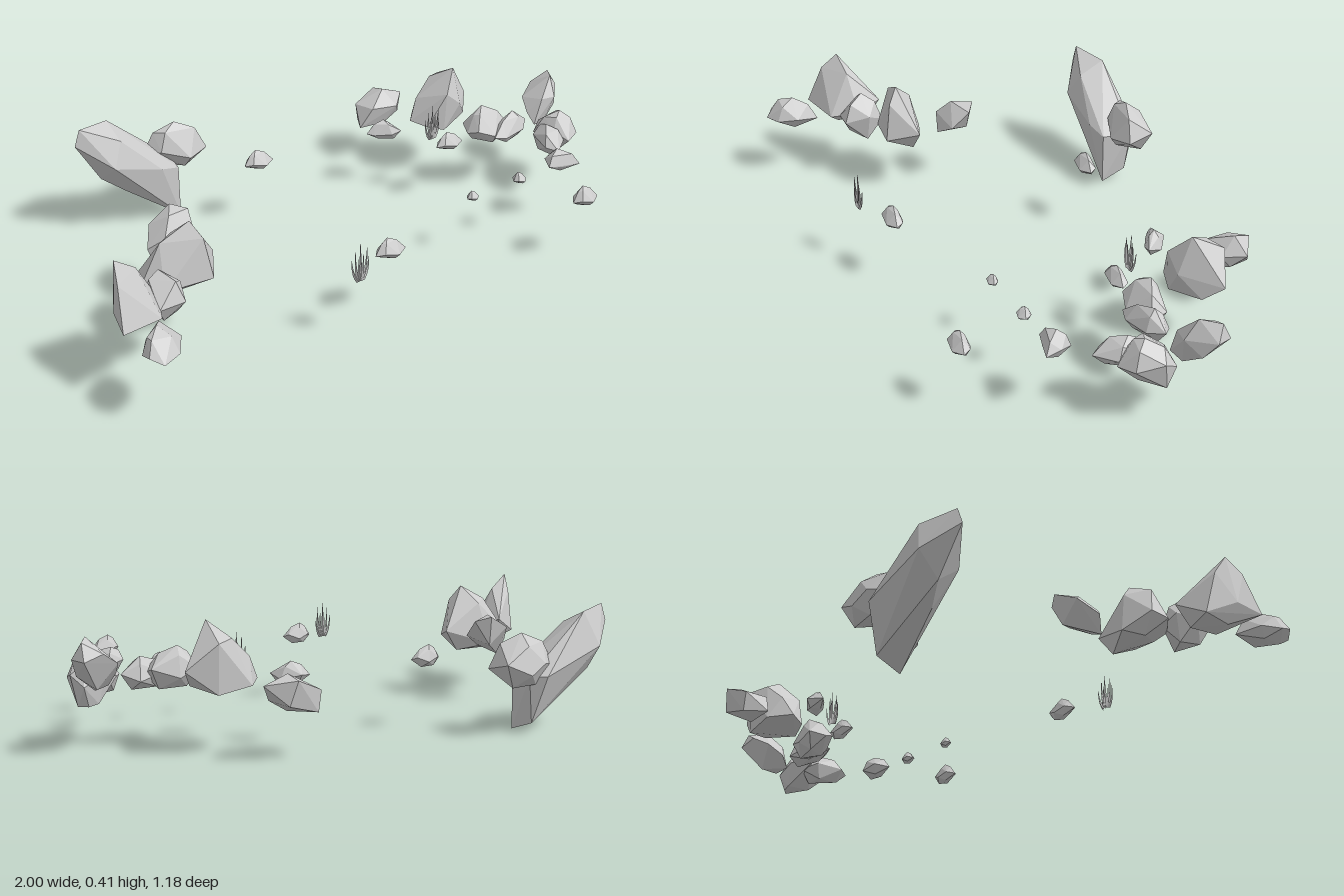
import * as THREE from 'three';
import { ConvexGeometry } from 'three/addons/geometries/ConvexGeometry.js';

const stone = new THREE.MeshStandardMaterial({ color: 0xcccccc, flatShading: true });

// Faceted convex stone through a handful of corner points
function hull(name, pts) {
  const mesh = new THREE.Mesh(new ConvexGeometry(pts.map(p => new THREE.Vector3(...p))), stone);
  mesh.name = name;
  return mesh;
}

// Stone from its plan outline [x, z], heights [bottom, waist, top], peak [x, z] and foot [x, z];
// the shoulder ring is the outline shrunk towards the peak, the base ring towards the foot
function rock(name, outline, [y0, y1, y2], peak, foot, shoulder = 0.55) {
  const pts = [[peak[0], y2, peak[1]]];
  outline.forEach(([x, z], i) => {
    const wobble = Math.sin(i * 2.4) * 0.12 * (y2 - y0);
    pts.push([x, y1 + wobble, z]);
    const mix = (c, s) => [c[0] + (x - c[0]) * s, c[1] + (z - c[1]) * s];
    const [ux, uz] = mix(peak, shoulder);
    const [lx, lz] = mix(foot, 0.6);
    if (i % 2 === 0) pts.push([ux, y1 + (y2 - y1) * 0.72 + wobble * 0.4, uz]);
    else pts.push([lx, y0 + (i % 3) * 0.1 * (y1 - y0), lz]);
  });
  pts.push([foot[0], y0, foot[1]]);
  return hull(name, pts);
}

// Small stone: one shared irregular outline, fitted to a centre and size
const pebbleOutline = [[-1, 0.1], [-0.55, -0.75], [0.2, -1], [0.85, -0.5], [1, 0.3], [0.3, 1], [-0.6, 0.8]];
function pebble(name, cx, cz, w, d, y0, y2) {
  const outline = pebbleOutline.map(([x, z]) => [cx + x * w / 2, cz + z * d / 2]);
  return rock(name, outline, [y0, y0 + (y2 - y0) * 0.35, y2], [cx - w * 0.05, cz - d * 0.1], [cx, cz], 0.5);
}

// Flat tuft of thin, tapering, upward-curving stalks
function tuft(name, x, y, z, width, height) {
  const group = new THREE.Group();
  group.name = name;
  const stalks = [[-0.5, 0.62], [-0.33, 0.85], [-0.14, 0.72], [0.02, 1], [0.17, 0.7], [0.34, 0.88], [0.5, 0.58]];
  stalks.forEach(([sx, h], i) => {
    const curve = new THREE.QuadraticBezierCurve3(
      new THREE.Vector3(sx * width * 0.35, 0, 0),
      new THREE.Vector3(sx * width * 1.05, height * h * 0.35, 0),
      new THREE.Vector3(sx * width, height * h, (i % 3 - 1) * 0.004));
    const steps = 5, sides = 4;
    const geo = new THREE.TubeGeometry(curve, steps, 0.006, sides, false);
    const pos = geo.attributes.position;
    for (let v = 0; v < pos.count; v++) {
      const t = Math.floor(v / (sides + 1)) / steps;
      const c = curve.getPointAt(t);
      const p = new THREE.Vector3().fromBufferAttribute(pos, v).sub(c).multiplyScalar(1 - 0.85 * t).add(c);
      pos.setXYZ(v, p.x, p.y, p.z);
    }
    geo.computeVertexNormals();
    const stalk = new THREE.Mesh(geo, stone);
    stalk.name = 'stalk';
    group.add(stalk);
  });
  group.position.set(x, y, z);
  return group;
}

export function createModel() {
  const model = new THREE.Group();
  model.name = 'scatteredRocks';

  // Leaning slab with a boulder beside it
  model.add(hull('leaningSlab', [
    [-0.66, 0.33, -0.52], [-0.64, 0.385, -0.52], [-0.52, 0.37, -0.56], [-0.56, 0.26, -0.595],
    [-0.34, 0.18, -0.59], [-0.56, 0.25, -0.44], [-0.52, 0.33, -0.47], [-0.39, 0.2, -0.435],
    [-0.32, 0, -0.45], [-0.32, 0.03, -0.54], [-0.3, 0.18, -0.55], [-0.32, 0.18, -0.45],
    [-0.57, 0.18, -0.53], [-0.5, 0.13, -0.49]]));
  model.add(rock('slabBoulder',
    [[-0.4, -0.55], [-0.33, -0.59], [-0.27, -0.595], [-0.19, -0.57], [-0.19, -0.48], [-0.27, -0.45], [-0.36, -0.49]],
    [0.15, 0.21, 0.315], [-0.29, -0.52], [-0.29, -0.52], 0.65));

  // Rock chain on the right side
  model.add(hull('rightEndRock', [
    [-0.535, 0.285, -0.03], [-0.58, 0.3, -0.065], [-0.66, 0.26, -0.055], [-0.7, 0.21, 0], [-0.685, 0.155, 0.02],
    [-0.62, 0.19, 0.055], [-0.55, 0.23, 0.03], [-0.59, 0.2, -0.045], [-0.62, 0.3, 0], [-0.66, 0.25, 0.04]]));
  model.add(rock('rightBroadRock',
    [[-0.82, 0.17], [-0.8, 0.12], [-0.71, 0.085], [-0.56, 0.15], [-0.62, 0.25], [-0.77, 0.22]],
    [0.16, 0.21, 0.385], [-0.66, 0.19], [-0.69, 0.16], 0.6));
  model.add(rock('rightPeakRock',
    [[-1, 0.39], [-0.98, 0.3], [-0.93, 0.21], [-0.84, 0.18], [-0.82, 0.27], [-0.86, 0.36]],
    [0.18, 0.23, 0.405], [-0.96, 0.285], [-0.89, 0.28], 0.5));
  model.add(rock('rightFillRock',
    [[-0.86, 0.26], [-0.82, 0.21], [-0.77, 0.2], [-0.74, 0.26], [-0.77, 0.34], [-0.85, 0.33]],
    [0.15, 0.23, 0.31], [-0.81, 0.26], [-0.79, 0.27], 0.65));
  model.add(rock('rightFrontRock',
    [[-1, 0.49], [-0.96, 0.44], [-0.89, 0.4], [-0.87, 0.48], [-0.91, 0.54], [-0.97, 0.56], [-1, 0.53]],
    [0.19, 0.22, 0.285], [-0.94, 0.47], [-0.94, 0.49], 0.65));

  // Rock cluster on the left side
  model.add(hull('leftBackRock', [
    [0.4, 0.14, -0.39], [0.43, 0.2, -0.46], [0.52, 0.235, -0.475], [0.6, 0.22, -0.415], [0.56, 0.17, -0.38],
    [0.5, 0.135, -0.385], [0.44, 0.135, -0.46], [0.52, 0.25, -0.42], [0.44, 0.21, -0.37], [0.54, 0.2, -0.36],
    [0.54, 0.16, -0.46]]));
  model.add(hull('leftTallRock', [
    [0.49, 0.21, -0.22], [0.55, 0.2, -0.285], [0.66, 0.18, -0.275], [0.7, 0.2, -0.18], [0.58, 0.18, -0.14],
    [0.52, 0.2, -0.16], [0.745, 0.25, -0.23], [0.64, 0.39, -0.175], [0.58, 0.32, -0.13], [0.6, 0.34, -0.255],
    [0.66, 0.33, -0.28], [0.53, 0.28, -0.24], [0.64, 0.27, -0.13]]));
  model.add(rock('leftMiddleRock',
    [[0.575, -0.01], [0.6, -0.065], [0.66, -0.065], [0.74, -0.03], [0.74, 0.02], [0.65, 0.055], [0.59, 0.03]],
    [0.17, 0.22, 0.3], [0.65, -0.03], [0.66, 0]));
  model.add(rock('leftFlatRock',
    [[0.64, 0.06], [0.68, 0], [0.77, -0.02], [0.815, 0.02], [0.77, 0.06], [0.68, 0.075]],
    [0.17, 0.21, 0.27], [0.75, 0.02], [0.72, 0.03]));
  model.add(hull('leftOuterRock', [
    [0.94, 0.345, 0], [0.98, 0.335, -0.055], [0.92, 0.3, -0.075], [0.985, 0.28, -0.08], [1, 0.285, -0.03],
    [0.97, 0.23, 0], [0.86, 0.265, -0.05], [0.84, 0.23, 0], [0.85, 0.19, 0.03], [0.9, 0.18, 0.02],
    [0.92, 0.19, -0.03], [0.93, 0.28, 0.04], [0.88, 0.28, 0.03]]));
  model.add(rock('leftSideRock',
    [[0.745, 0.2], [0.77, 0.11], [0.82, 0.075], [0.86, 0.1], [0.84, 0.19], [0.77, 0.24]],
    [0.15, 0.2, 0.25], [0.8, 0.14], [0.8, 0.15], 0.65));
  model.add(rock('leftCornerRock',
    [[0.79, 0.09], [0.85, 0.05], [0.92, 0.05], [0.94, 0.1], [0.91, 0.18], [0.85, 0.205], [0.82, 0.16]],
    [0.125, 0.205, 0.28], [0.87, 0.13], [0.9, 0.06], 0.6));
  model.add(rock('leftFrontRock',
    [[0.635, 0.335], [0.66, 0.285], [0.715, 0.275], [0.74, 0.32], [0.74, 0.37], [0.68, 0.35]],
    [0.185, 0.215, 0.26], [0.69, 0.31], [0.69, 0.32], 0.65));
  model.add(rock('leftSmallRock',
    [[0.31, -0.235], [0.36, -0.265], [0.41, -0.225], [0.415, -0.175], [0.38, -0.18], [0.33, -0.215]],
    [0.18, 0.205, 0.25], [0.37, -0.22], [0.37, -0.22]));

  // Loose pebbles: centre x, centre z, width, depth, bottom, top
  [[-0.125, -0.26, 0.11, 0.06, 0.195, 0.265], [-0.125, 0.45, 0.11, 0.06, 0.195, 0.265],
    [0.575, 0.56, 0.1, 0.06, 0.195, 0.265], [0.49, -0.01, 0.11, 0.055, 0.185, 0.25],
    [0.315, 0.32, 0.045, 0.035, 0.19, 0.225], [0.515, 0.32, 0.05, 0.045, 0.19, 0.23]]
    .forEach(p => model.add(pebble('pebble', ...p)));

  // Plant tufts
  model.add(tuft('leftTuft', 0.467, 0.21, -0.07, 0.06, 0.12));
  model.add(tuft('frontTuft', -0.275, 0.2, 0.505, 0.06, 0.12));

  return model;
}
